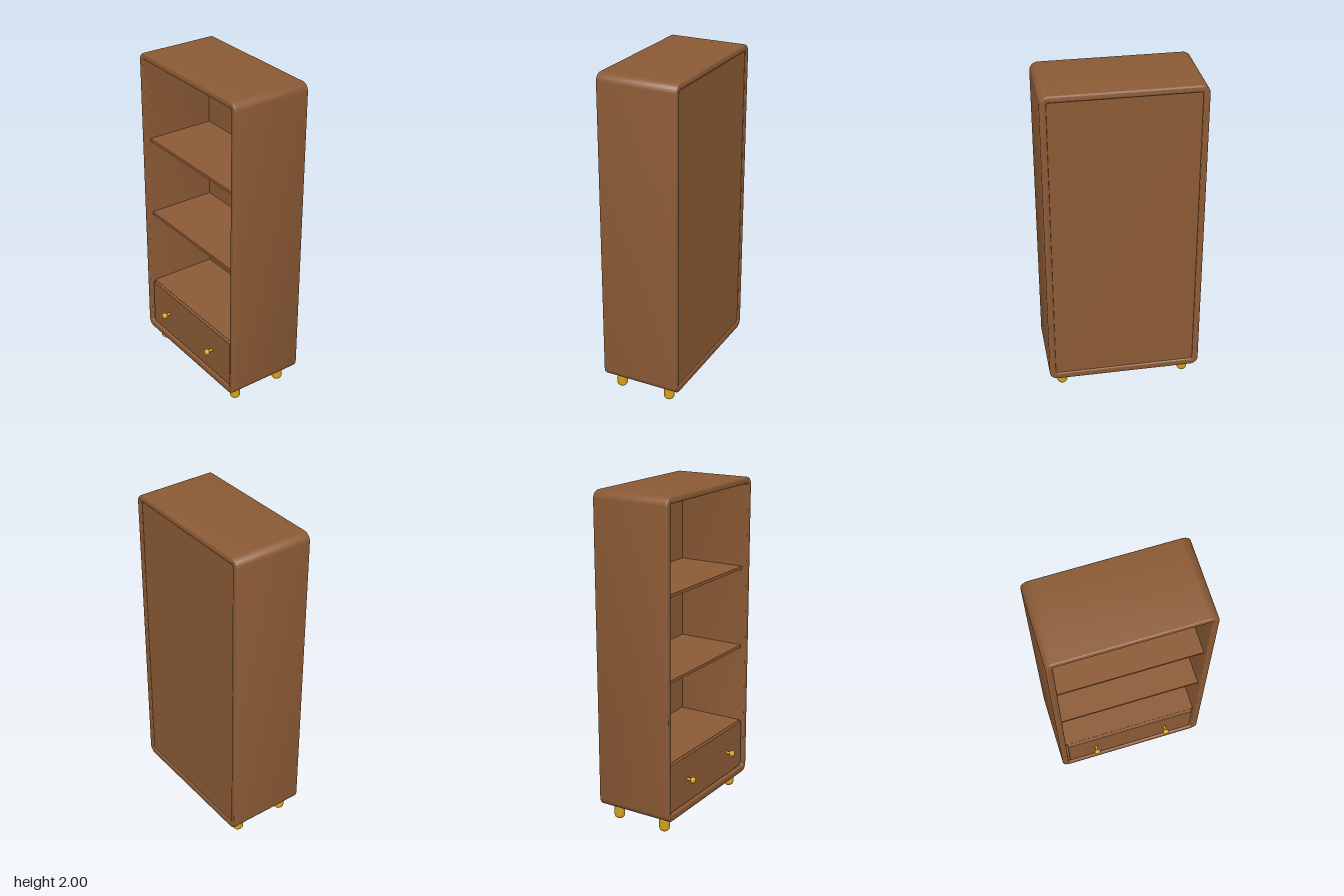
import * as THREE from 'three';
import { toCreasedNormals } from 'three/addons/utils/BufferGeometryUtils.js';
import { RoundedBoxGeometry } from 'three/addons/geometries/RoundedBoxGeometry.js';

// Draws a rounded rectangle, centred on x, into a Shape or Path
function roundedRect(path, halfW, y0, y1, r) {
  path.moveTo(-halfW + r, y0);
  path.lineTo(halfW - r, y0);
  path.absarc(halfW - r, y0 + r, r, -Math.PI / 2, 0, false);
  path.lineTo(halfW, y1 - r);
  path.absarc(halfW - r, y1 - r, r, 0, Math.PI / 2, false);
  path.lineTo(-halfW + r, y1);
  path.absarc(-halfW + r, y1 - r, r, Math.PI / 2, Math.PI, false);
  path.lineTo(-halfW, y0 + r);
  path.absarc(-halfW + r, y0 + r, r, Math.PI, Math.PI * 1.5, false);
  return path;
}

export function createModel() {
  const group = new THREE.Group();
  const wood = new THREE.MeshStandardMaterial({ color: 0x8b5a35 });
  wood.name = 'wood';
  const brass = new THREE.MeshStandardMaterial({ color: 0xd4a020 });
  brass.name = 'brass';

  function add(name, geometry, material, x = 0, y = 0, z = 0) {
    const mesh = new THREE.Mesh(geometry, material);
    mesh.name = name;
    mesh.position.set(x, y, z);
    group.add(mesh);
    return mesh;
  }

  // Outer frame: rounded tube with softened front and back rims
  const bevel = 0.01;
  const outline = roundedRect(new THREE.Shape(), 0.467, 0.095, 2, 0.05);
  outline.holes.push(roundedRect(new THREE.Path(), 0.428, 0.14, 1.96, 0.012));
  const frame = new THREE.ExtrudeGeometry(outline, {
    depth: 0.49 - 2 * bevel,
    bevelEnabled: true,
    bevelThickness: bevel,
    bevelSize: bevel,
    bevelOffset: -bevel,
    bevelSegments: 4,
    curveSegments: 10,
  });
  add('frame', toCreasedNormals(frame, 0.6), wood, 0, 0, -0.268 + bevel);

  // Recessed back panel
  add('backPanel', new THREE.BoxGeometry(0.858, 1.822, 0.02), wood, 0, 1.05, -0.25);

  // Shelves, the lowest one covering the drawer
  for (const y of [0.437, 0.94, 1.443]) {
    add('shelf', new THREE.BoxGeometry(0.858, 0.018, 0.432), wood, 0, y, -0.026);
  }

  // Drawer front
  add('drawerFront', new RoundedBoxGeometry(0.832, 0.299, 0.022, 2, 0.003), wood, 0, 0.2945, 0.199);

  // Drawer knobs: a short stem and a flattened ball
  const stem = new THREE.CylinderGeometry(0.009, 0.009, 0.045, 16).rotateX(Math.PI / 2);
  const ball = new THREE.SphereGeometry(0.02, 24, 16).scale(1, 1, 0.8);
  // Rounded feet
  const profile = [];
  for (let i = 0; i <= 8; i++) {
    const a = (i / 8) * Math.PI / 2;
    profile.push(new THREE.Vector2(0.032 * Math.sin(a), 0.028 * (1 - Math.cos(a))));
  }
  for (let i = 0; i <= 8; i++) {
    const a = (i / 8) * Math.PI / 2;
    profile.push(new THREE.Vector2(0.032 * Math.cos(a), 0.076 + 0.026 * Math.sin(a)));
  }
  const foot = new THREE.LatheGeometry(profile, 24);

  for (const side of [-1, 1]) {
    add('knobStem', stem, brass, side * 0.234, 0.295, 0.224);
    add('knob', ball, brass, side * 0.234, 0.295, 0.249);
    for (const z of [0.143, -0.18]) add('foot', foot, brass, side * 0.383, 0, z);
  }

  return group;
}
